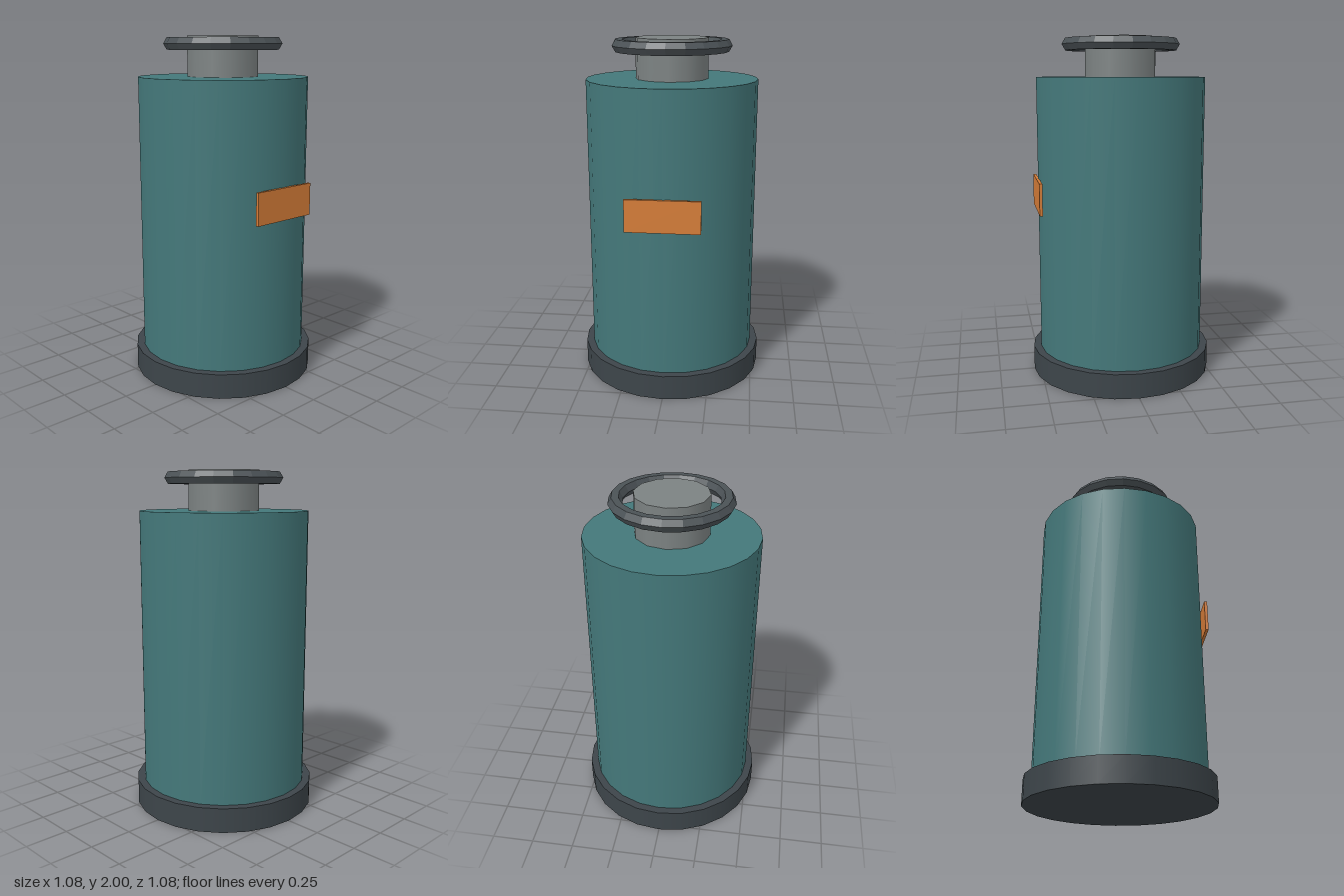
import * as THREE from 'three';

const mat = (color, flatShading = false) => new THREE.MeshStandardMaterial({ color, flatShading });

export function createModel() {
  const model = new THREE.Group();
  model.name = 'canister';

  const add = (name, geometry, material, y, z = 0) => {
    const mesh = new THREE.Mesh(geometry, material);
    mesh.name = name;
    mesh.position.set(0, y, z);
    model.add(mesh);
    return mesh;
  };
  // Upright cylinder between two heights
  const drum = (name, radius, bottom, top, sides, material) =>
    add(name, new THREE.CylinderGeometry(radius, radius, top - bottom, sides), material, (bottom + top) / 2);

  const dark = 0x3d454a;
  drum('base', 0.54, 0, 0.145, 24, mat(dark));
  drum('body', 0.495, 0.14, 1.77, 24, mat(0x44787a));
  drum('neck', 0.21, 1.765, 2, 12, mat(0x7c8282));

  // Hexagonal-section ring floating around the neck
  const ring = new THREE.TorusGeometry(0.305, 0.04, 6, 20).rotateX(-Math.PI / 2);
  add('collarRing', ring, mat(0x4b5256, true), 1.956);

  // Label plate on the front
  add('labelPlate', new THREE.BoxGeometry(0.42, 0.185, 0.017), mat(0xd67d38), 1.0875, 0.4985);

  return model;
}
